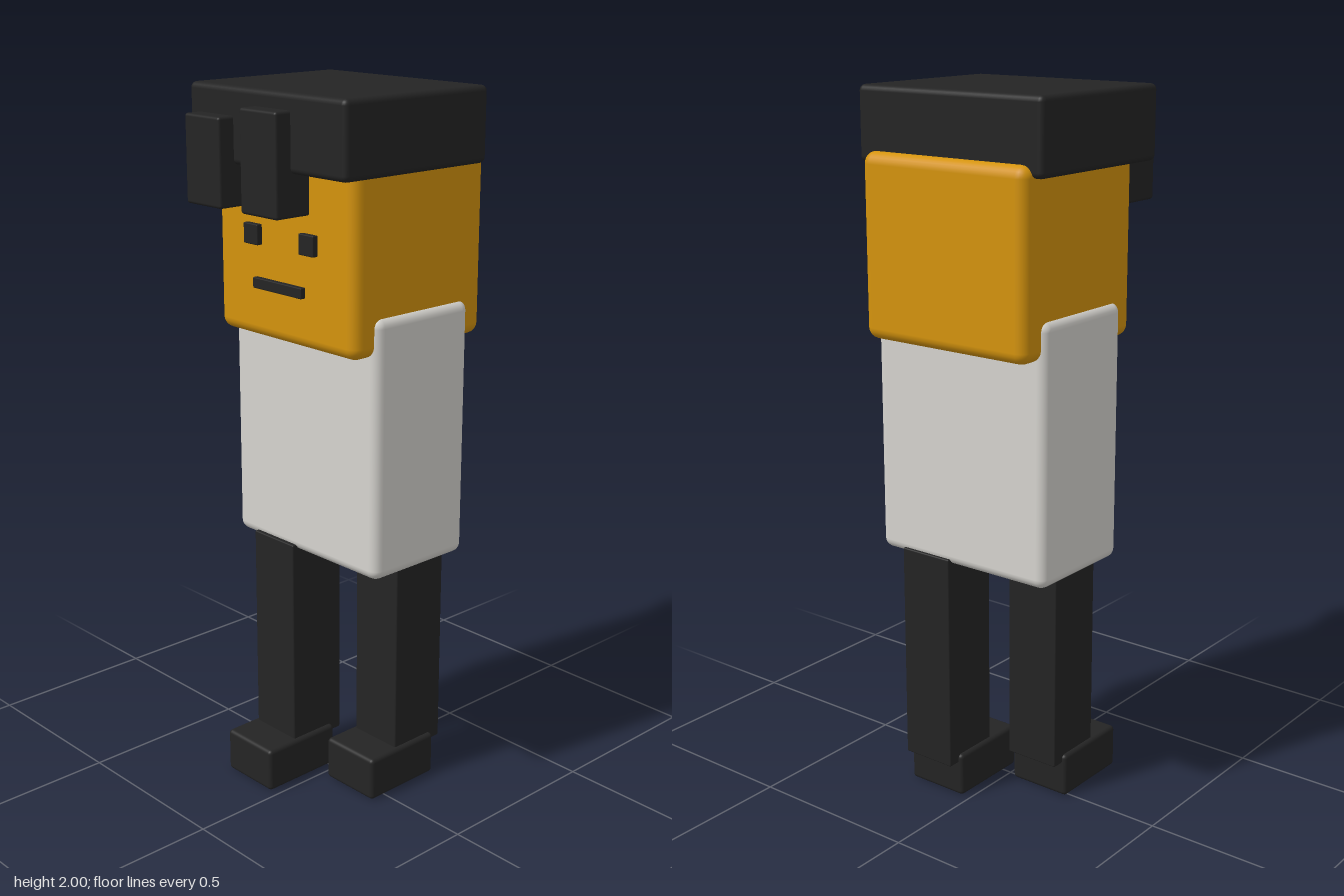
import * as THREE from 'three';
import { RoundedBoxGeometry } from 'three/addons/geometries/RoundedBoxGeometry.js';

export function createModel() {
  const model = new THREE.Group();
  model.name = 'blockFigure';

  const material = (name, color) => {
    const m = new THREE.MeshStandardMaterial({ color });
    m.name = name;
    return m;
  };
  const black = material('charcoal', 0x242424);
  const gold = material('golden skin', 0xd4930d);
  const white = material('off white cloth', 0xd6d4cf);

  // Rounded block spanning the given [min, max] ranges
  const block = (name, mat, [x0, x1], [y0, y1], [z0, z1], radius) => {
    const geometry = new RoundedBoxGeometry(x1 - x0, y1 - y0, z1 - z0, 3, radius);
    const mesh = new THREE.Mesh(geometry, mat);
    mesh.name = name;
    mesh.position.set((x0 + x1) / 2, (y0 + y1) / 2, (z0 + z1) / 2);
    model.add(mesh);
    return mesh;
  };

  // Body and head
  block('torso', white, [-0.285, 0.285], [0.718, 1.44], [-0.227, 0.117], 0.028);
  block('head', gold, [-0.27, 0.27], [1.335, 1.833], [-0.292, 0.182], 0.032);

  // Flat block of hair with two fringe locks
  block('hairTop', black, [-0.3, 0.3], [1.8, 2], [-0.262, 0.243], 0.016);
  block('rightFringe', black, [-0.262, -0.12], [1.69, 1.925], [0.17, 0.291], 0.008);
  block('leftFringe', black, [-0.04, 0.101], [1.69, 1.957], [0.17, 0.291], 0.008);

  // Face details, set just clear of the head
  for (const [name, x] of [['rightEye', -0.109], ['leftEye', 0.108]]) {
    block(name, black, [x - 0.028, x + 0.028], [1.59, 1.645], [0.184, 0.202], 0.003);
  }
  block('mouth', black, [-0.096, 0.095], [1.476, 1.505], [0.19, 0.207], 0.003);

  // Legs in mid stride: the right one forward, the left one back
  for (const [side, x, z] of [['right', -0.118, 0], ['left', 0.118, -0.179]]) {
    block(side + 'Leg', black, [x - 0.082, x + 0.082], [0.104, 0.735], [z - 0.054, z + 0.127], 0.004);
    block(side + 'Foot', black, [x - 0.095, x + 0.095], [0, 0.128], [z - 0.018, z + 0.232], 0.012);
  }

  return model;
}
